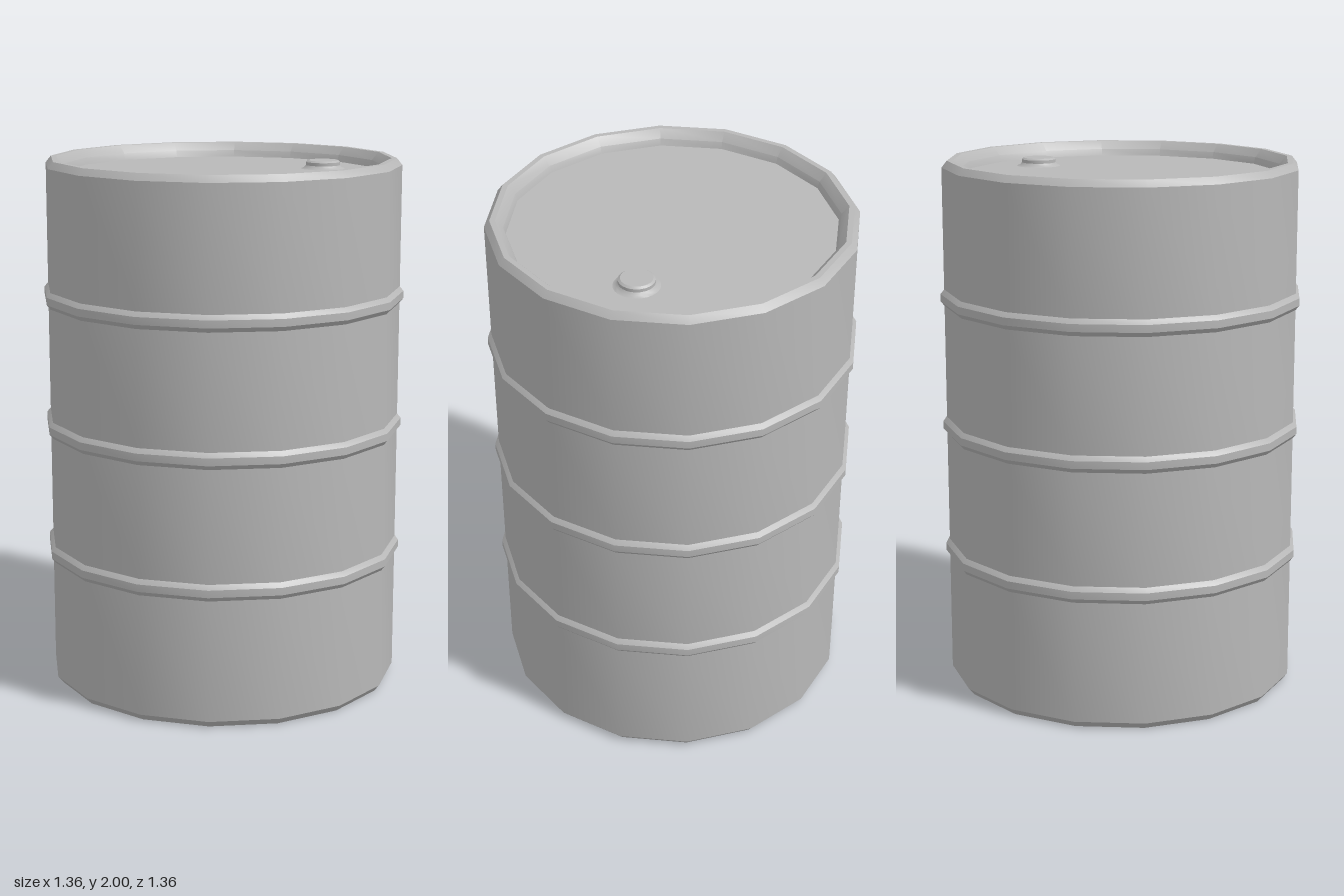
import * as THREE from 'three';
import { toCreasedNormals } from 'three/addons/utils/BufferGeometryUtils.js';

// Revolve a profile, smooth around the axis but sharp along the profile
function revolve(points, sides, crease = 0.45) {
  const profile = points.map(([r, y]) => new THREE.Vector2(r, y));
  return toCreasedNormals(new THREE.LatheGeometry(profile, sides), crease);
}

export function createModel() {
  const model = new THREE.Group();
  const steel = new THREE.MeshStandardMaterial({ color: 0xb8b8b8 });
  steel.name = 'grey steel';

  const add = (name, geometry) => {
    const mesh = new THREE.Mesh(geometry, steel);
    mesh.name = name;
    model.add(mesh);
    return mesh;
  };

  const R = 0.667, SIDES = 16;

  // Chime: bevelled outer edge, flat lip and sloped inner wall (top half)
  const chime = [[R, 1.975], [0.647, 2], [0.627, 2], [0.6, 1.97], [0.592, 1.945]];
  const flip = ([r, y]) => [r, 2 - y];

  // Wall with three rolling hoops
  const wall = [flip(chime[0])];
  for (const y of [0.515, 1, 1.49]) {
    wall.push([R, y - 0.031], [0.681, y - 0.014], [0.681, y + 0.014], [R, y + 0.031]);
  }
  wall.push(chime[0]);
  add('wall', revolve(wall, SIDES));

  // Rims and recessed end plates
  add('topRim', revolve(chime, SIDES));
  add('bottomRim', revolve(chime.map(flip).reverse(), SIDES));
  add('lid', revolve([[0.592, 1.945], [0, 1.945]], SIDES));
  add('base', revolve([[0, 0.055], [0.592, 0.055]], SIDES));

  // Filler cap on a flared collar
  const collar = add('capCollar', revolve([[0.083, 0], [0.072, 0.004], [0.065, 0.013]], 24, 0.7));
  const cap = add('fillerCap', revolve([[0.065, 0.013], [0.065, 0.025], [0.057, 0.031], [0, 0.031]], 24));
  for (const part of [collar, cap]) part.position.set(0.4, 1.945, 0);

  return model;
}
